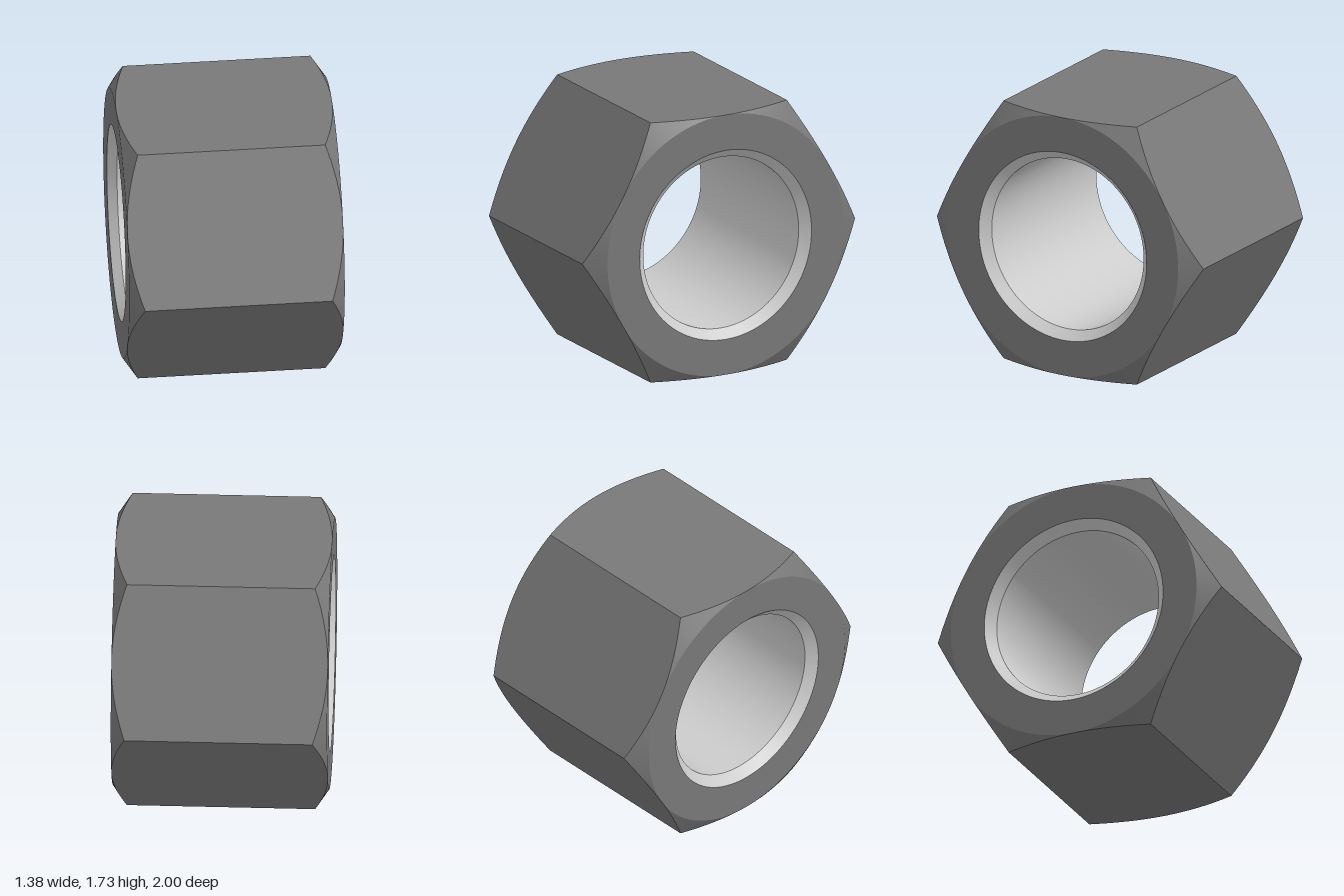
import * as THREE from 'three';
import { toCreasedNormals } from 'three/addons/utils/BufferGeometryUtils.js';

const APOTHEM = Math.sqrt(3) / 2; // centre to flat; corners lie at radius 1
const HALF = 0.69;                // half length along x
const CORNER = 0.60;              // half length at the corners
const BORE = 0.57, MOUTH = 0.63, BEVEL = 0.06;
const STEPS = 144;                // multiple of 12, so corners land on a step

// Sweeps a profile of [x, radius] points, which may vary with angle, about the x axis
function sweep(profileAt) {
  const pos = [];
  const ring = (j) => {
    const phi = (j % STEPS) / STEPS * Math.PI * 2;
    return profileAt(phi).map(([x, r]) =>
      new THREE.Vector3(x, APOTHEM + r * Math.cos(phi), r * Math.sin(phi)));
  };
  const addTriangle = (a, b, c) => {
    const area = b.clone().sub(a).cross(c.clone().sub(a)).length();
    if (area > 1e-9) pos.push(...a.toArray(), ...b.toArray(), ...c.toArray());
  };
  for (let j = 0; j < STEPS; j++) {
    const p = ring(j), q = ring(j + 1);
    for (let i = 0; i < p.length - 1; i++) {
      addTriangle(p[i], p[i + 1], q[i]);
      addTriangle(q[i], p[i + 1], q[i + 1]);
    }
  }
  const geo = new THREE.BufferGeometry();
  geo.setAttribute('position', new THREE.Float32BufferAttribute(pos, 3));
  return toCreasedNormals(geo, 0.4);
}

// Hexagonal outside: end faces, conical corner chamfers and six flats
function shellProfile(phi) {
  const sector = Math.PI / 3;
  const off = phi - Math.round(phi / sector) * sector;
  const r = APOTHEM / Math.cos(off);
  const x = HALF - (HALF - CORNER) * (r - APOTHEM) / (1 - APOTHEM);
  return [[HALF, MOUTH], [HALF, APOTHEM], [x, r],
    [-x, r], [-HALF, APOTHEM], [-HALF, MOUTH]];
}

// Round hole with a bevel at each mouth
const boreProfile = () => [[-HALF, MOUTH], [-HALF + BEVEL, BORE],
  [HALF - BEVEL, BORE], [HALF, MOUTH]];

export function createModel() {
  const group = new THREE.Group();
  group.name = 'hexNut';
  const add = (name, profile, color) => {
    const mesh = new THREE.Mesh(sweep(profile), new THREE.MeshStandardMaterial({ color }));
    mesh.name = name;
    group.add(mesh);
  };
  add('hexBody', shellProfile, 0x787878);
  add('bore', boreProfile, 0xcccccc);
  return group;
}
